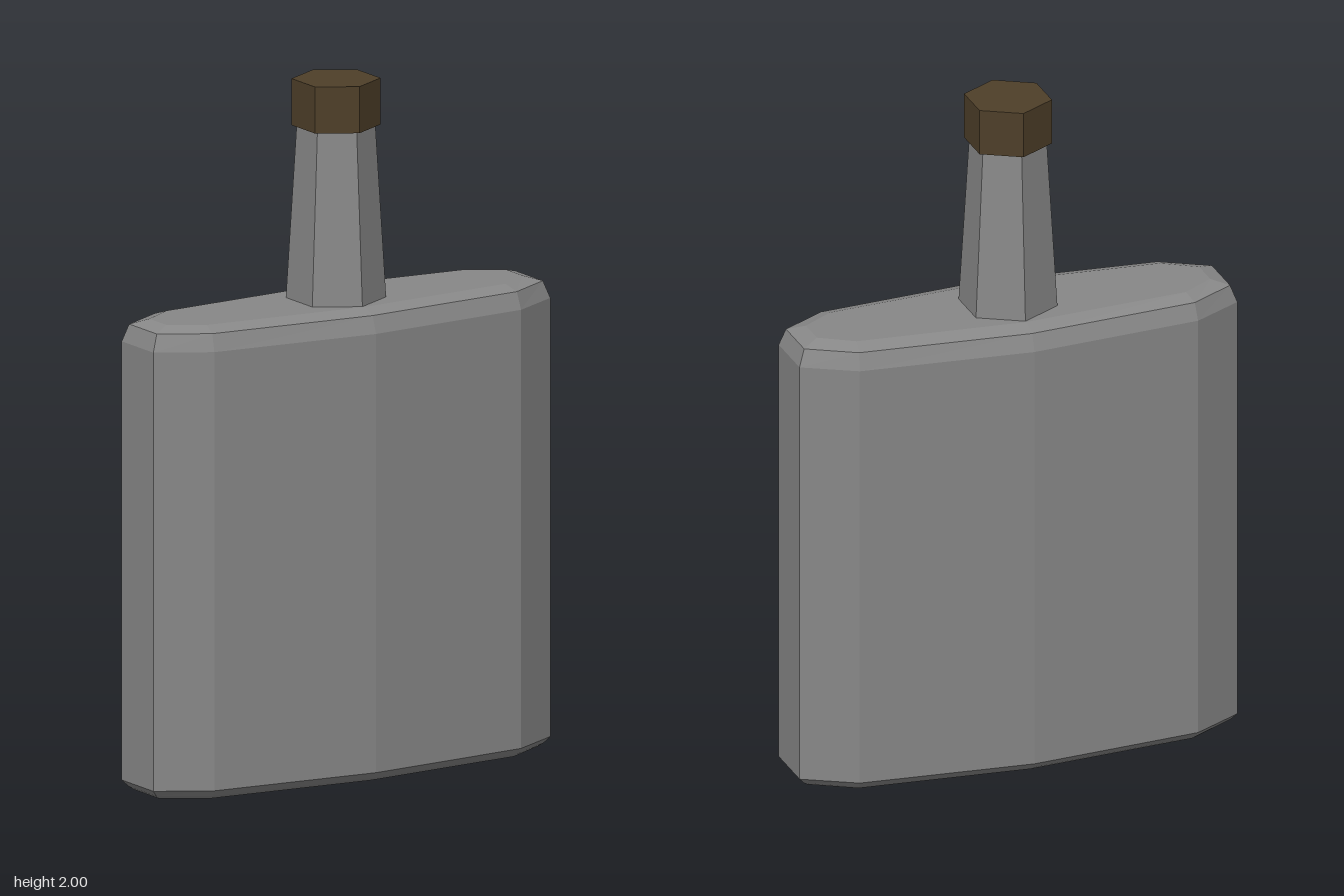
import * as THREE from 'three';

// Quarter of the body outline: x, z, and how each corner moves per unit of inset
const QUARTER = [
  [0.66, 0.085, 1, 0.6],
  [0.51, 0.17, 0.2, 0.93],
  [0, 0.215, 0, 1],
];

// Body levels: height and inset
const LEVELS = [[0, 0.03], [0.01, 0.016], [0.028, 0], [1.3, 0], [1.35, 0.018], [1.365, 0.067]];

// Full ten-sided outline at one level, running from +x towards +z
function ring([y, inset]) {
  const front = QUARTER.map(([x, z, dx, dz]) => [x - dx * inset, z - dz * inset]);
  const half = [...front, ...front.slice(0, 2).reverse().map(([x, z]) => [-x, z])];
  const all = [...half, ...half.map(([x, z]) => [-x, -z])];
  return all.map(([x, z]) => [x, y, z]);
}

function bodyGeometry() {
  const rings = LEVELS.map(ring);
  const n = rings[0].length;
  const last = rings.length - 1;
  const positions = [];
  const tri = (a, b, c) => positions.push(...a, ...b, ...c);
  for (let i = 0; i < n; i++) {
    const j = (i + 1) % n;
    for (let k = 0; k < last; k++) {
      const lo = rings[k], hi = rings[k + 1];
      tri(lo[i], hi[i], lo[j]);
      tri(lo[j], hi[i], hi[j]);
    }
    tri([0, LEVELS[0][0], 0], rings[0][i], rings[0][j]);
    tri([0, LEVELS[last][0], 0], rings[last][j], rings[last][i]);
  }
  const geometry = new THREE.BufferGeometry();
  geometry.setAttribute('position', new THREE.Float32BufferAttribute(positions, 3));
  geometry.computeVertexNormals();
  return geometry;
}

// Six-sided tube section standing between two heights
function hexGeometry(topRadius, bottomRadius, y0, y1) {
  return new THREE.CylinderGeometry(topRadius, bottomRadius, y1 - y0, 6).translate(0, (y0 + y1) / 2, 0);
}

export function createModel() {
  const group = new THREE.Group();
  group.name = 'bottle';
  const glass = new THREE.MeshStandardMaterial({ color: 0x888888, flatShading: true });
  const cork = new THREE.MeshStandardMaterial({ color: 0x4e3f29, flatShading: true });

  const add = (name, geometry, material) => {
    const mesh = new THREE.Mesh(geometry, material);
    mesh.name = name;
    group.add(mesh);
  };

  add('body', bodyGeometry(), glass);
  add('neck', hexGeometry(0.111, 0.142, 1.36, 1.87), glass);
  add('cap', hexGeometry(0.126, 0.126, 1.865, 2), cork);
  return group;
}
